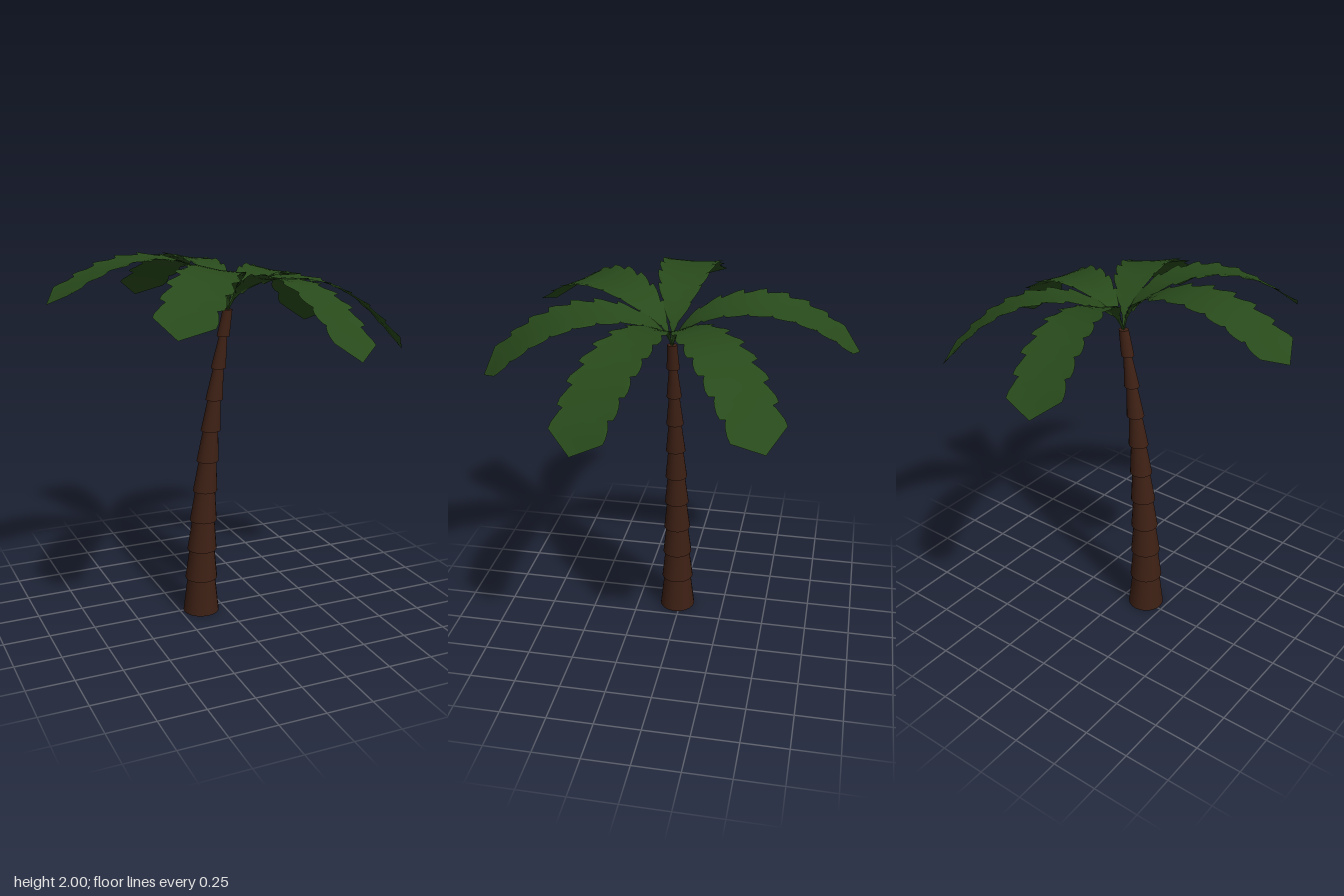
import * as THREE from 'three';

const TRUNK_H = 1.7, SEGMENTS = 10, CENTRE_Z = 0.02;
const leanX = (y) => -0.13 + 0.16 * (y / TRUNK_H) ** 2;
const trunkR = (y) => 0.1 - 0.071 * (y / TRUNK_H) ** 0.88;

// Leaning trunk: stacked sheared cones, each one wider at its foot than the top of the one below
function makeTrunk(material) {
  const trunk = new THREE.Group();
  trunk.name = 'trunk';
  const h = TRUNK_H / SEGMENTS;
  for (let i = 0; i < SEGMENTS; i++) {
    const y0 = i * h + (i ? 0.03 : 0);
    const y1 = (i + 1) * h + (i < SEGMENTS - 1 ? 0.03 : 0);
    const top = i < SEGMENTS - 1 ? trunkR(y1) - 0.012 : 0.026;
    const geo = new THREE.CylinderGeometry(top, trunkR(y0), y1 - y0, 20);
    geo.translate(0, (y0 + y1) / 2, 0);
    const p = geo.attributes.position;
    const x0 = leanX(y0), x1 = leanX(y1);
    for (let k = 0; k < p.count; k++) {
      const t = (p.getY(k) - y0) / (y1 - y0);
      p.setX(k, p.getX(k) + x0 + (x1 - x0) * t);
    }
    geo.translate(0, 0, CENTRE_Z);
    geo.computeVertexNormals();
    const mesh = new THREE.Mesh(geo, material);
    mesh.name = 'trunkSegment';
    trunk.add(mesh);
  }
  return trunk;
}

// Midrib of a frond, running outward along +x
const midrib = new THREE.CatmullRomCurve3([
  [0, 0], [0.04, 0.09], [0.13, 0.165], [0.28, 0.22], [0.48, 0.222],
  [0.67, 0.16], [0.85, 0.04], [0.965, -0.065],
].map(([x, y]) => new THREE.Vector3(x, y, 0)));

// Half width of the blade against distance from the trunk
const widths = [[0, 0.007], [0.035, 0.009], [0.06, 0.03], [0.1, 0.06], [0.17, 0.09],
  [0.3, 0.128], [0.5, 0.152], [0.7, 0.158], [0.88, 0.148], [1, 0.146]];
function halfWidth(r) {
  const i = Math.max(1, widths.findIndex(([x]) => x >= r));
  const [x0, w0] = widths[i - 1], [x1, w1] = widths[i];
  return THREE.MathUtils.lerp(w0, w1, (r - x0) / (x1 - x0));
}

// Frond blade: a smooth inner strip with saw-tooth leaflets along both edges and a pointed end
function makeFrondGeometry() {
  const pos = [], idx = [];
  const vert = (x, y, z) => pos.push(x, y, z) / 3 - 1;
  const tri = (a, b, c, side) => (side > 0 ? idx.push(a, b, c) : idx.push(a, c, b));
  const quad = (a, b, c, d, side) => { tri(a, b, c, side); tri(a, c, d, side); };
  const teeth = 9, sub = 3, n = teeth * sub, end = 0.925;
  const rows = [];
  for (let i = 0; i <= n; i++) {
    const p = midrib.getPointAt((i / n) * end);
    const w = halfWidth(p.x);
    const row = { p, w, mid: vert(p.x, p.y, 0), inner: {} };
    for (const s of [1, -1]) row.inner[s] = vert(p.x, p.y + 0.006, s * w * 0.8);
    rows.push(row);
  }
  const tip = midrib.getPointAt(1);
  const tipV = vert(tip.x, tip.y, 0);
  for (const s of [1, -1]) {
    for (let i = 0; i < n; i++) {
      const a = rows[i], b = rows[i + 1];
      quad(a.mid, a.inner[s], b.inner[s], b.mid, s);
    }
    let last;
    for (let t = 0; t < teeth; t++) {
      // Each leaflet flares outward and lifts towards its far end
      let prev = null;
      for (let k = 0; k <= sub; k++) {
        const { p, w, inner } = rows[t * sub + k];
        const f = k / sub;
        const lift = w * (-0.03 + 0.13 * f);
        const shift = t && k === 0 ? 0.012 : 0;
        const out = vert(p.x + shift, p.y + lift, s * w * (0.87 + 0.13 * Math.min(1, f * 1.5)));
        if (prev) quad(prev.inner, prev.out, out, inner[s], s);
        prev = { inner: inner[s], out };
        last = out;
      }
    }
    tri(rows[n].mid, rows[n].inner[s], tipV, s);
    tri(rows[n].inner[s], last, tipV, s);
  }
  const geo = new THREE.BufferGeometry();
  geo.setAttribute('position', new THREE.Float32BufferAttribute(pos, 3));
  geo.setIndex(idx);
  geo.computeVertexNormals();
  return geo;
}

export function createModel() {
  const model = new THREE.Group();
  model.name = 'palmTree';
  const bark = new THREE.MeshStandardMaterial({ color: 0x3d2014 });
  const leaf = new THREE.MeshStandardMaterial({ color: 0x284a1b, side: THREE.DoubleSide });
  model.add(makeTrunk(bark));

  // Crown of six fronds, tipped over with the lean of the trunk
  const crown = new THREE.Group();
  crown.name = 'crown';
  crown.position.set(leanX(TRUNK_H), TRUNK_H - 0.01, CENTRE_Z);
  crown.rotation.z = THREE.MathUtils.degToRad(-9.5);
  const frondGeo = makeFrondGeometry();
  for (const angle of [18.5, 72.5, 126.5, 180.5, 259, 324]) {
    const frond = new THREE.Mesh(frondGeo, leaf);
    frond.name = 'frond';
    frond.rotation.y = -THREE.MathUtils.degToRad(angle);
    crown.add(frond);
  }
  model.add(crown);
  return model;
}
